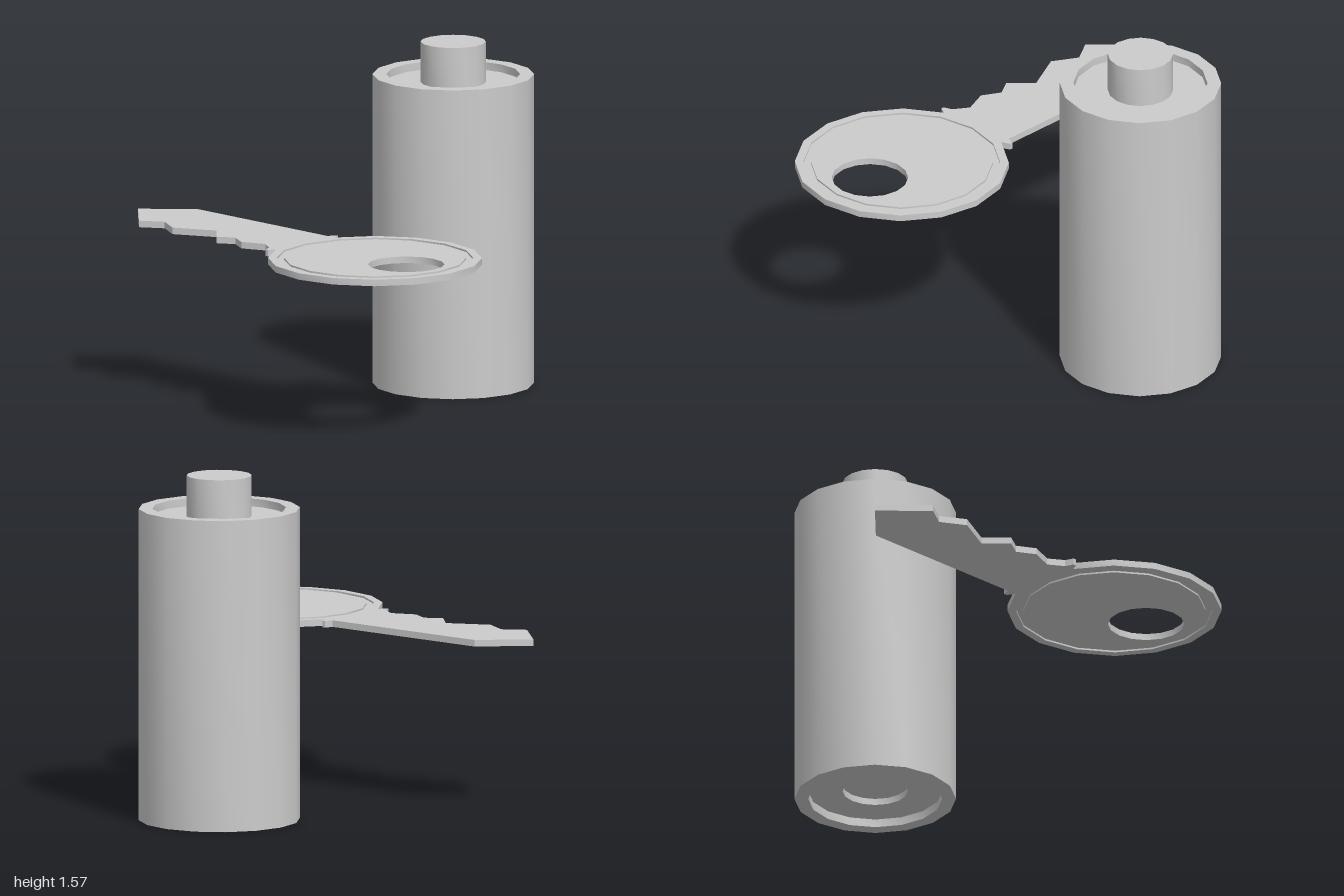
import * as THREE from 'three';
import { toCreasedNormals } from 'three/addons/utils/BufferGeometryUtils.js';

const SIDES = 16;
const CREASE = 0.6;
const material = new THREE.MeshStandardMaterial({ color: 0xcccccc });

function part(name, geometry) {
  const mesh = new THREE.Mesh(toCreasedNormals(geometry, CREASE), material);
  mesh.name = name;
  return mesh;
}

// Corners of a regular polygon standing in for a circle
function ring(cx, cz, r) {
  return Array.from({ length: SIDES }, (_, i) => {
    const a = (i / SIDES) * Math.PI * 2;
    return new THREE.Vector2(cx + r * Math.cos(a), cz + r * Math.sin(a));
  });
}

// Flat plate lying in the xz plane between two heights
function plate(name, outline, holes, bottom, top) {
  const shape = new THREE.Shape(outline);
  holes.forEach((h) => shape.holes.push(new THREE.Path(h)));
  const geometry = new THREE.ExtrudeGeometry(shape, { depth: top - bottom, bevelEnabled: false });
  geometry.rotateX(Math.PI / 2).translate(0, top, 0);
  return part(name, geometry);
}

function createBattery() {
  const battery = new THREE.Group();
  battery.name = 'battery';
  // Casing with recessed ends and a dimple underneath
  const casing = [
    [0, 0.068], [0.147, 0.068], [0.147, 0.038], [0.302, 0.038], [0.302, 0],
    [0.364, 0], [0.364, 1.42], [0.302, 1.42], [0.302, 1.384], [0.147, 1.384],
  ].map(([r, y]) => new THREE.Vector2(r, y));
  battery.add(part('casing', new THREE.LatheGeometry(casing, SIDES)));
  // Raised contact on top
  const terminal = [[0.147, 1.384], [0.147, 1.57], [0, 1.57]].map(([r, y]) => new THREE.Vector2(r, y));
  battery.add(part('terminal', new THREE.LatheGeometry(terminal, SIDES)));
  battery.position.z = -0.565;
  return battery;
}

function createKey() {
  const key = new THREE.Group();
  key.name = 'key';
  const bottom = 0.77, top = 0.8, groove = 0.008;
  const cx = 0.518, cz = 0.443;
  const hole = ring(0.718, cz, 0.172);

  // Round bow: rim, sunken groove and inner disc, pierced by the ring hole
  key.add(plate('bowRim', ring(cx, cz, 0.482), [ring(cx, cz, 0.443)], bottom, top));
  key.add(plate('bowGroove', ring(cx, cz, 0.443), [ring(cx, cz, 0.41)], bottom + groove, top - groove));
  key.add(plate('bowDisc', ring(cx, cz, 0.41), [hole], bottom, top));

  // Pointed blade with collar notches and teeth on the front edge
  const blade = [
    [-1, 0.443], [-0.81, 0.257], [0.027, 0.257], [0.04, 0.22], [0.055, 0.22], [0.073, 0.259],
    [0.036, 0.443], [0.073, 0.627], [0.055, 0.664], [0.04, 0.664], [0.025, 0.625],
    [-0.045, 0.58], [-0.155, 0.624], [-0.24, 0.578], [-0.315, 0.624], [-0.41, 0.53],
    [-0.595, 0.624], [-0.71, 0.56], [-0.81, 0.624],
  ].map(([x, z]) => new THREE.Vector2(x, z));
  key.add(plate('blade', blade, [], bottom, top));
  return key;
}

export function createModel() {
  const model = new THREE.Group();
  model.name = 'batteryAndKey';
  model.add(createBattery(), createKey());
  return model;
}
